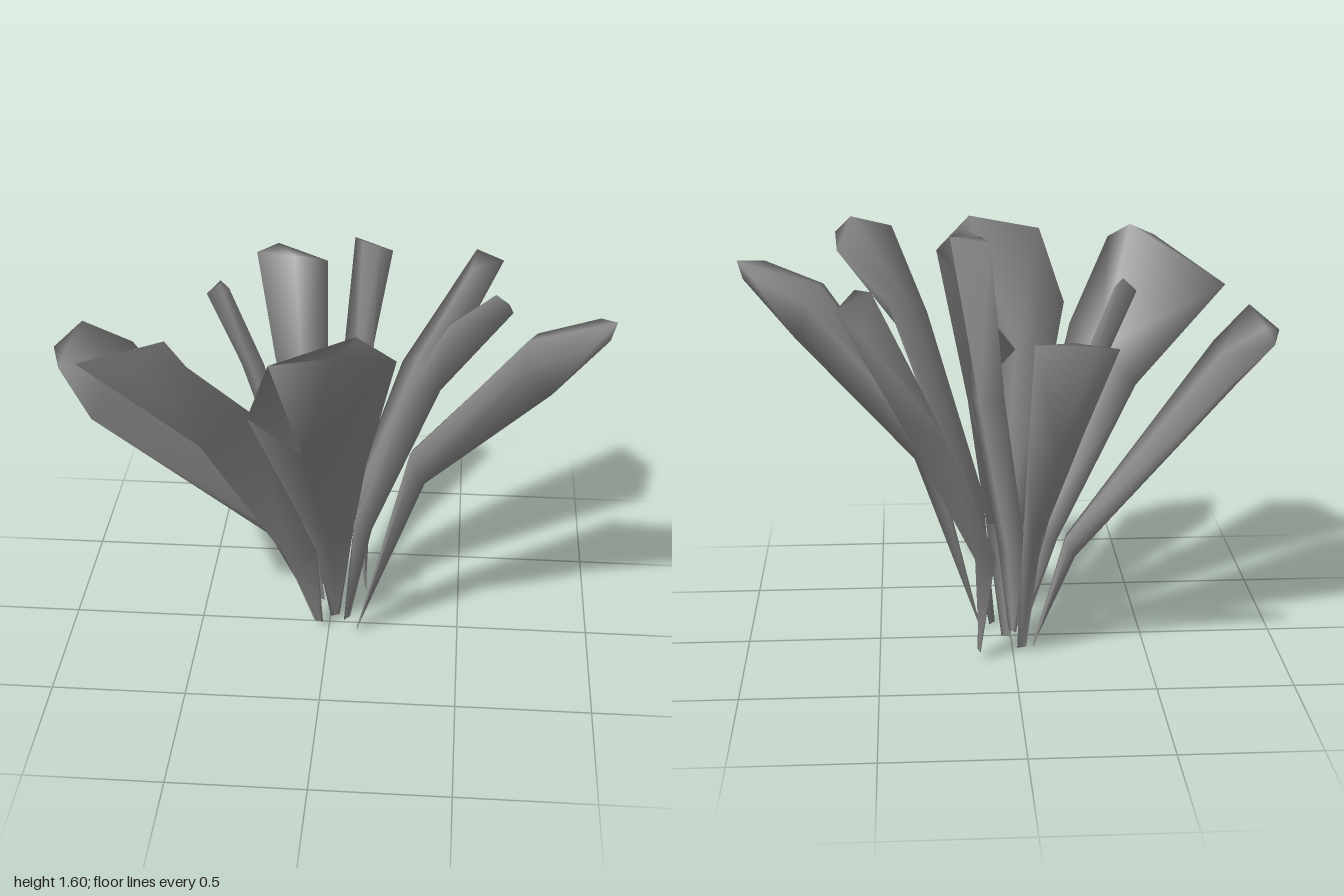
import * as THREE from 'three';

const V = (a) => new THREE.Vector3(...a);
const material = new THREE.MeshStandardMaterial({ color: 0x8c8c8c, side: THREE.DoubleSide });

// Fleshy closed leaf lofted through rings of left edge, outer spine, right edge, inner spine.
// Edges run knee, shoulder, tip corner; left and right are as seen from outside.
function leaf(name, base, left, right, outerTip, innerTip, bulge) {
  const root = V(base);
  const L = left.map(V), R = right.map(V), out = V(bulge);
  const half = R[0].clone().sub(L[0]).setLength(0.018);
  const rings = [[root.clone().sub(half), root, root.clone().add(half), root]];
  [0.6, 1].forEach((amount, i) => {
    const middle = L[i].clone().lerp(R[i], 0.5);
    const outer = middle.clone().addScaledVector(out, amount);
    const inner = middle.clone().addScaledVector(out, -0.2 * amount);
    rings.push([L[i], outer, R[i], inner]);
  });
  rings.push([L[2], V(outerTip), R[2], V(innerTip)]);

  const index = [];
  for (let r = 0; r < rings.length - 1; r++) {
    for (let c = 0; c < 4; c++) {
      const a = r * 4 + c, b = r * 4 + (c + 1) % 4, d = a + 4, e = b + 4;
      // Diagonals mirror about the spines
      if (c % 2 === 0) index.push(a, b, d, b, e, d);
      else index.push(a, b, e, a, e, d);
    }
  }
  // Tip cap
  const t = (rings.length - 1) * 4;
  index.push(t, t + 1, t + 3, t + 1, t + 2, t + 3);

  const geometry = new THREE.BufferGeometry().setFromPoints(rings.flat());
  geometry.setIndex(index);
  geometry.computeVertexNormals();
  const mesh = new THREE.Mesh(geometry, material);
  mesh.name = name;
  return mesh;
}

export function createModel() {
  const plant = new THREE.Group();
  plant.name = 'leafCluster';
  plant.add(
    // Broad outer leaves, spreading round the base
    leaf('rightSideLeaf', [-0.08, 0.01, -0.1],
      [[-0.21, 0.42, -0.14], [-0.77, 1.08, -0.26], [-0.94, 1.2, -0.18]],
      [[-0.21, 0.42, 0], [-0.81, 1.08, 0.35], [-0.93, 1.24, 0.28]],
      [-1, 1.2, 0.04], [-0.95, 1.21, 0.04], [-0.05, -0.1, 0]),
    leaf('frontRightLeaf', [-0.04, 0.03, 0.03],
      [[-0.18, 0.38, 0.05], [-0.49, 0.95, 0.2], [-0.85, 1.3, 0.36]],
      [[-0.04, 0.4, 0.1], [-0.25, 1.15, 0.38], [-0.42, 1.44, 0.62]],
      [-0.6, 1.45, 0.6], [-0.5, 1.5, 0.56], [-0.04, -0.08, 0.06]),
    leaf('frontLeaf', [0.02, 0.02, -0.03],
      [[-0.05, 0.42, 0.08], [-0.24, 1.2, 0.52], [-0.15, 1.47, 0.65]],
      [[0.09, 0.45, 0.06], [0.15, 0.88, 0.26], [0.26, 1.42, 0.49]],
      [0.06, 1.48, 0.6], [0.13, 1.54, 0.56], [-0.02, -0.03, 0.03]),
    leaf('frontLeftLeaf', [0.07, 0.05, 0.03],
      [[0.1, 0.55, 0.12], [0.3, 1.22, 0.3], [0.43, 1.53, 0.43]],
      [[0.18, 0.55, 0.02], [0.45, 1.33, 0.04], [0.63, 1.49, 0.17]],
      [0.64, 1.53, 0.32], [0.58, 1.59, 0.31], [0.03, -0.1, 0.05]),
    leaf('leftSideLeaf', [0.11, 0.01, 0.04],
      [[0.31, 0.81, 0.15], [0.69, 1.33, 0.33], [0.91, 1.42, 0.34]],
      [[0.31, 0.81, 0.01], [0.74, 1.32, 0.04], [0.95, 1.42, 0.11]],
      [0.98, 1.38, 0.2], [1, 1.45, 0.2], [0.08, -0.17, 0]),
    leaf('backLeftLeaf', [0.13, 0.04, -0.2],
      [[0.12, 0.45, -0.13], [0.4, 1.1, -0.125], [0.56, 1.41, -0.125]],
      [[0.07, 0.45, -0.29], [0.25, 0.95, -0.43], [0.52, 1.36, -0.59]],
      [0.62, 1.4, -0.4], [0.5, 1.43, -0.25], [0.08, -0.06, -0.02]),
    leaf('backRightLeaf', [-0.03, 0.05, -0.2],
      [[-0.03, 0.5, -0.26], [-0.04, 0.95, -0.42], [-0.05, 1.31, -0.55]],
      [[-0.1, 0.5, -0.24], [-0.24, 0.96, -0.39], [-0.33, 1.31, -0.61]],
      [-0.25, 1.33, -0.66], [-0.18, 1.32, -0.56], [0, -0.05, -0.05]),

    // Narrow inner leaves
    leaf('uprightInnerLeaf', [0, 0.08, -0.12],
      [[0.05, 0.4, -0.05], [0.15, 1, -0.04], [0.17, 1.605, -0.03]],
      [[-0.05, 0.4, -0.14], [0.03, 1, -0.16], [0.08, 1.58, -0.16]],
      [0.22, 1.58, -0.05], [0.11, 1.59, -0.1], [0.03, -0.02, -0.03]),
    leaf('slenderInnerLeaf', [-0.04, 0.08, -0.05],
      [[-0.14, 0.5, -0.06], [-0.33, 1.1, -0.07], [-0.45, 1.38, -0.07]],
      [[-0.08, 0.5, -0.05], [-0.25, 1.1, -0.08], [-0.37, 1.4, -0.08]],
      [-0.4, 1.42, -0.06], [-0.4, 1.43, -0.08], [0, 0, 0.03]),
  );
  return plant;
}
